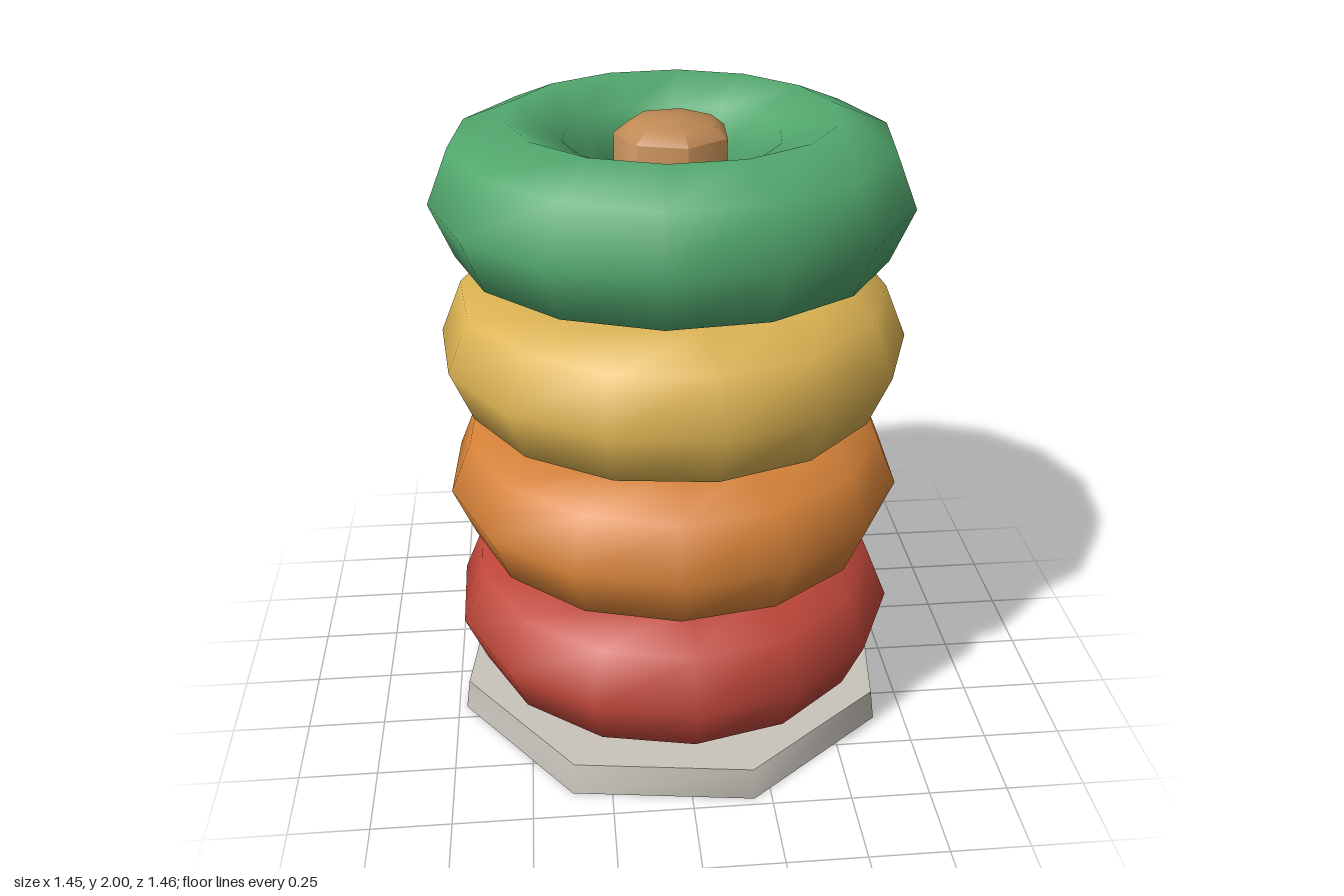
import * as THREE from 'three';
import { toCreasedNormals } from 'three/addons/utils/BufferGeometryUtils.js';

const material = (name, color) => {
  const m = new THREE.MeshStandardMaterial({ color });
  m.name = name;
  return m;
};

export function createModel() {
  const group = new THREE.Group();
  group.name = 'ringStacker';
  const add = (name, geometry, mat, y, turn = 0) => {
    const mesh = new THREE.Mesh(geometry, mat);
    mesh.name = name;
    mesh.position.y = y;
    mesh.rotation.y = THREE.MathUtils.degToRad(turn);
    group.add(mesh);
  };

  // Octagonal base plate: smooth rim, sharp top and bottom edges
  const plate = toCreasedNormals(new THREE.CylinderGeometry(0.735, 0.75, 0.105, 8), 1);
  add('base', plate, material('pale grey', 0xc9c4bc), 0.0525, 15);

  // Central peg with a slightly domed tip
  const pegProfile = [[0.18, 0.1], [0.175, 1.94], [0.13, 1.975], [0, 1.985]]
    .map(([r, y]) => new THREE.Vector2(r, y));
  const peg = toCreasedNormals(new THREE.LatheGeometry(pegProfile, 7), 1.1);
  add('peg', peg, material('wood brown', 0xc08a55), 0, 10);

  // Four stacked rings, each turned a little differently
  const tube = 0.236;
  const rings = [
    ['redRing', 'red', 0xc0473a, 14],
    ['orangeRing', 'orange', 0xd68238, 10],
    ['yellowRing', 'yellow', 0xdcb352, 19],
    ['greenRing', 'green', 0x52a86e, 6],
  ];
  rings.forEach(([name, colorName, color, turn], i) => {
    const ring = new THREE.TorusGeometry(0.495, tube, 8, 14).rotateX(-Math.PI / 2);
    add(name, ring, material(colorName, color), 2 - tube - (3 - i) * 0.472, turn);
  });

  return group;
}
